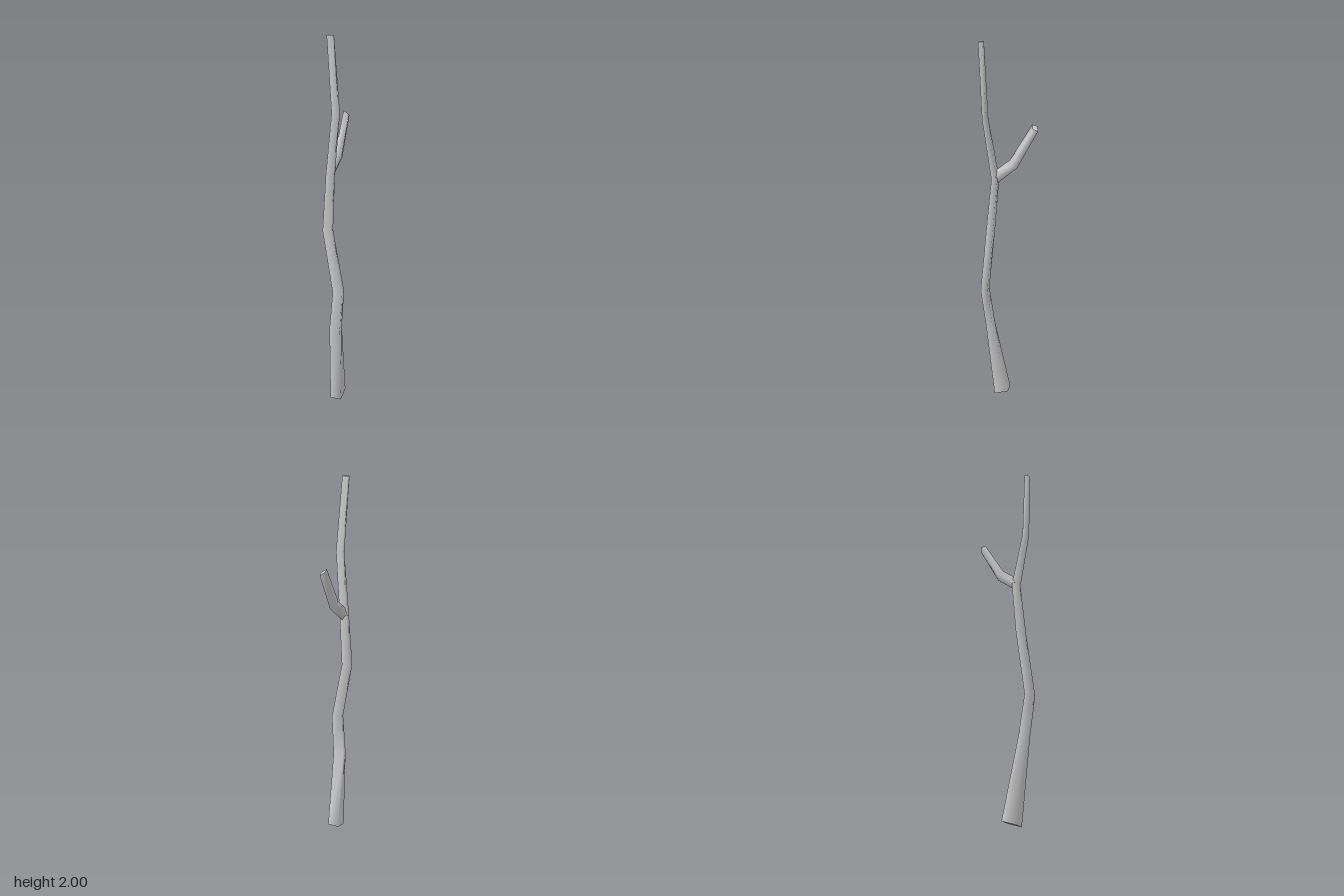
import * as THREE from 'three';

const material = new THREE.MeshStandardMaterial({ color: 0xcccccc });

// Four-cornered cross-section from its centre and two half-diagonals.
function ring(centre, d1, d2) {
  const c = new THREE.Vector3(...centre);
  const a = new THREE.Vector3(...d1);
  const b = new THREE.Vector3(...d2);
  return [c.clone().add(a), c.clone().add(b), c.clone().sub(a), c.clone().sub(b)];
}

// Trunk section: near-level rectangle, width a, depth b, turned about y.
function section([x, y, z], a, b, degrees = 24, tilt = 0) {
  const t = THREE.MathUtils.degToRad(degrees);
  const ux = Math.cos(t) * a / 2, uz = -Math.sin(t) * a / 2;
  const vx = Math.sin(t) * b / 2, vz = Math.cos(t) * b / 2;
  return ring([x, y, z], [ux + vx, tilt, uz + vz], [vx - ux, -tilt, vz - uz]);
}

// Smooth sides through the rings, with flat caps on both ends.
function limb(name, rings) {
  const points = rings.flat();
  const index = [];
  for (let i = 0; i < rings.length - 1; i++) {
    for (let j = 0; j < 4; j++) {
      const p = i * 4 + j, q = i * 4 + (j + 1) % 4;
      index.push(q, p, p + 4, q, p + 4, q + 4);
    }
  }
  const n = points.length;
  points.push(...rings[0], ...rings[rings.length - 1]);
  index.push(n, n + 1, n + 2, n, n + 2, n + 3);
  index.push(n + 4, n + 6, n + 5, n + 4, n + 7, n + 6);

  const geometry = new THREE.BufferGeometry().setFromPoints(points);
  geometry.setIndex(index);
  geometry.computeVertexNormals();
  const mesh = new THREE.Mesh(geometry, material);
  mesh.name = name;
  return mesh;
}

export function createModel() {
  const group = new THREE.Group();
  group.name = 'bareTree';

  // Crooked trunk, tapering from the flared foot to the top twig
  group.add(limb('trunk', [
    section([-0.034, 0.0125, -0.004], 0.078, 0.062, 22, 0.0125),
    section([-0.092, 0.45, 0.031], 0.037, 0.058),
    section([-0.103, 0.67, 0.061], 0.037, 0.052),
    section([-0.111, 1.0, -0.005], 0.037, 0.044, 20),
    section([-0.083, 1.29, -0.011], 0.032, 0.038, 20),
    section([-0.103, 1.62, 0.045], 0.022, 0.036, 20),
    section([-0.131, 2.0, 0.036], 0.021, 0.03, 20),
  ]));

  // Side branch, growing out of the trunk and bending upward
  group.add(limb('sideBranch', [
    ring([-0.084, 1.295, -0.011], [0.016, -0.026, 0], [0.004, 0, 0.021]),
    ring([0.014, 1.379, -0.038], [0.025, -0.017, 0.003], [-0.003, -0.005, 0.022]),
    ring([0.12, 1.58, -0.077], [0.02, -0.014, 0.003], [-0.002, -0.005, 0.0175]),
  ]));

  return group;
}
